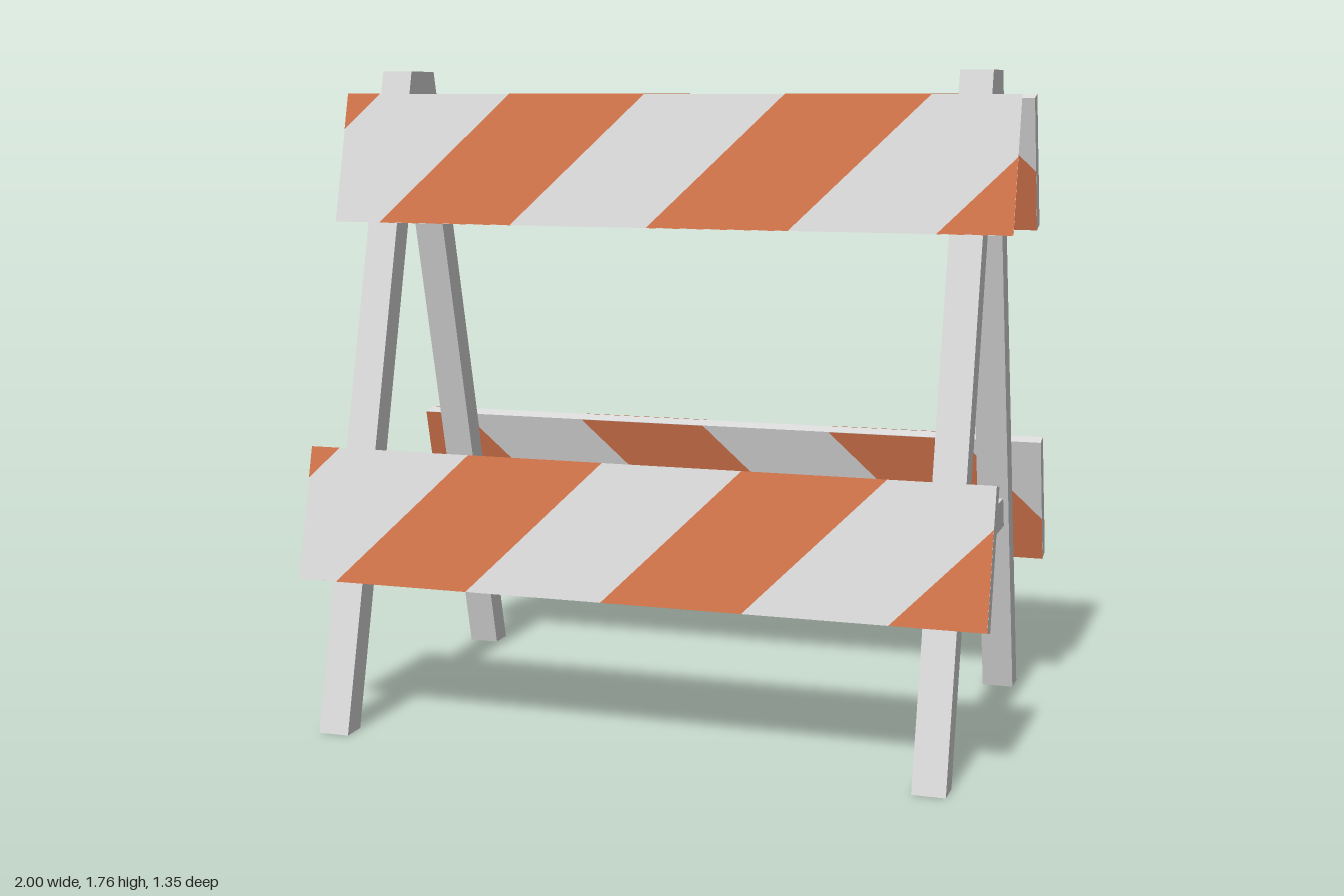
import * as THREE from 'three';

const white = new THREE.MeshStandardMaterial({ name: 'white', color: 0xdadada, side: THREE.DoubleSide });
const orange = new THREE.MeshStandardMaterial({ name: 'orange', color: 0xd3754b, side: THREE.DoubleSide });

const HALF = 0.933;      // half length of a board
const HEIGHT = 0.36;     // board height along its slope
const THICK = 0.041;     // board thickness
const TILT = 0.26;       // lean of legs and boards
const LEG_X = 0.808;     // distance of each A-frame from the middle

function mesh(name, geometry, material, parent) {
  const m = new THREE.Mesh(geometry, material);
  m.name = name;
  parent.add(m);
  return m;
}

// Cut a polygon at the board end where sign * x = HALF
function clipEnd(points, sign) {
  const out = [];
  points.forEach((p, i) => {
    const q = points[(i + 1) % points.length];
    const dp = HALF - sign * p.x, dq = HALF - sign * q.x;
    if (dp >= 0) out.push(p);
    if (dp * dq < 0) out.push(p.clone().lerp(q, dp / (dp - dq)));
  });
  return out;
}

// Board with slanted stripes on both faces; local z = 0 is the outer face
function makeBoard(name, { y, z, start, period, sheet }) {
  const board = new THREE.Group();
  board.name = name;
  board.position.set(0, y, z);
  board.rotation.x = -TILT;

  if (sheet) {
    mesh('panel', new THREE.PlaneGeometry(2 * HALF, HEIGHT), white, board);
  } else {
    mesh('panel', new THREE.BoxGeometry(2 * HALF, HEIGHT, THICK), white, board).position.z = -THICK / 2;
  }

  const h = HEIGHT / 2, slant = 0.35;
  for (let k = -2; k <= 2; k++) {
    const a = start + k * period, b = a + period / 2;
    let points = [
      new THREE.Vector2(a - slant, -h), new THREE.Vector2(b - slant, -h),
      new THREE.Vector2(b, h), new THREE.Vector2(a, h),
    ];
    points = clipEnd(clipEnd(points, 1), -1);
    if (points.length < 3) continue;
    const geometry = new THREE.ShapeGeometry(new THREE.Shape(points));
    mesh('outerStripe', geometry, orange, board).position.z = 0.002;
    const inner = geometry.clone();
    inner.setIndex([...geometry.index.array].reverse());
    inner.computeVertexNormals();
    mesh('innerStripe', inner, orange, board).position.z = -(sheet ? 0 : THICK) - 0.002;
  }
  return board;
}

// A-shaped pair of legs with a flat cap, plus the crossbar between them
function makeFrame(name, x) {
  const frame = new THREE.Group();
  frame.name = name;
  frame.position.x = x;
  const side = [[0.072, 1.76], [0.542, 0], [0.47, 0], [0.035, 1.63]];
  const outline = [...side, ...side.map(([w, y]) => [-w, y]).reverse()];
  const shape = new THREE.Shape(outline.map(([w, y]) => new THREE.Vector2(w, y)));
  const legs = new THREE.ExtrudeGeometry(shape, { depth: 0.086, bevelEnabled: false });
  legs.translate(0, 0, -0.043).rotateY(-Math.PI / 2);
  mesh('legs', legs, white, frame);
  mesh('crossbar', new THREE.BoxGeometry(0.058, 0.082, 0.68), white, frame).position.y = 0.542;
  return frame;
}

export function createModel() {
  const model = new THREE.Group();
  model.name = 'roadBarrier';

  const body = new THREE.Group();
  body.name = 'barrierBody';
  body.rotation.y = -0.168;   // whole barrier stands at a slight angle
  model.add(body);

  body.add(makeFrame('leftFrame', LEG_X), makeFrame('rightFrame', -LEG_X));

  const front = new THREE.Group();
  front.name = 'frontBoards';
  front.add(
    makeBoard('frontUpperBoard', { y: 1.525, z: 0.172, start: -0.45, period: 0.77, sheet: true }),
    makeBoard('frontLowerBoard', { y: 0.577, z: 0.432, start: -0.472, period: 0.755 }),
  );

  const back = new THREE.Group();
  back.name = 'backBoards';
  back.rotation.y = Math.PI;
  back.add(
    makeBoard('backUpperBoard', { y: 1.525, z: 0.17, start: 0.02, period: 0.76 }),
    makeBoard('backLowerBoard', { y: 0.577, z: 0.43, start: 0.05, period: 0.755 }),
  );

  body.add(front, back);
  return model;
}
